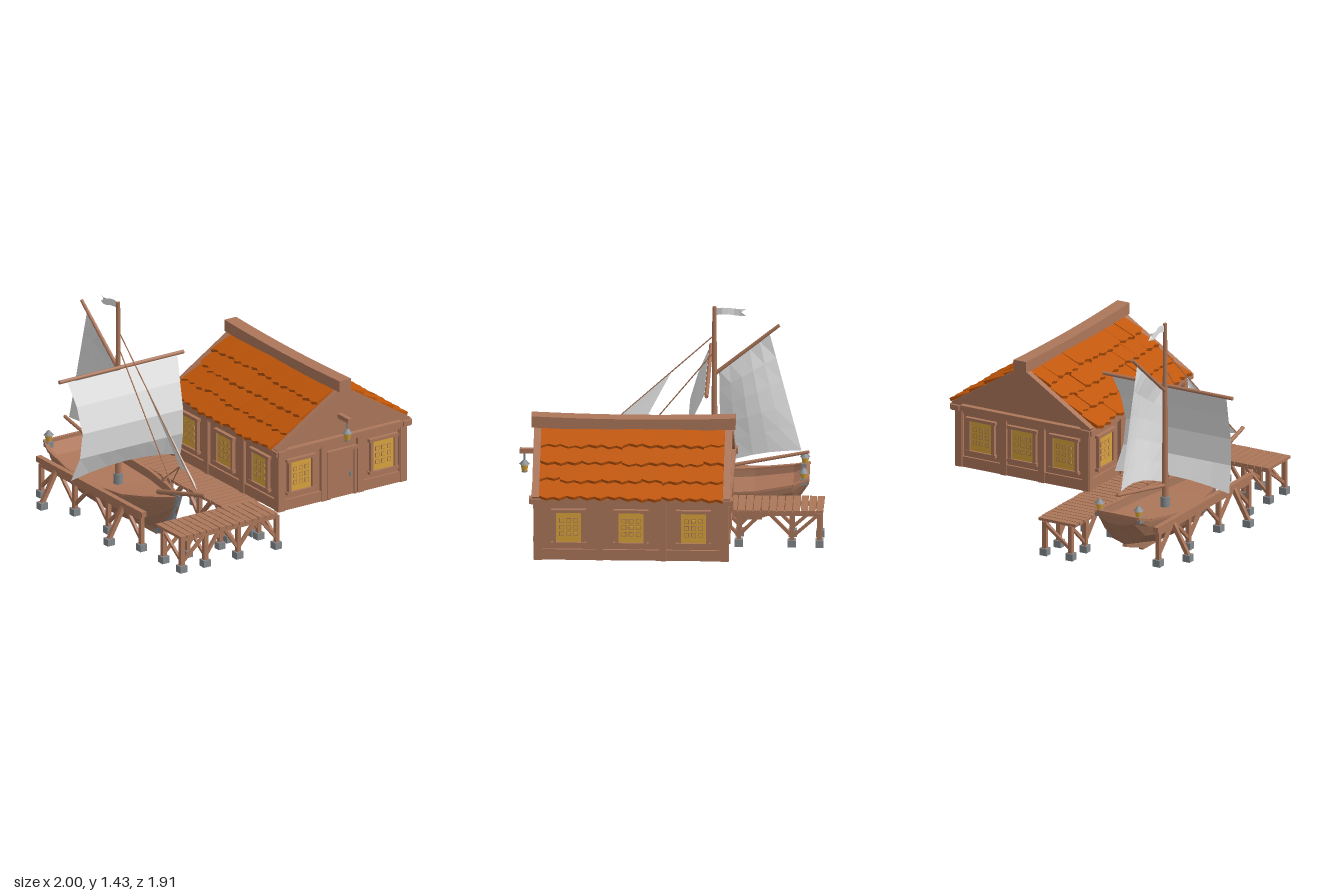
import * as THREE from 'three';

const mat = (name, color) => Object.assign(new THREE.MeshStandardMaterial({ color }), { name });
const V = (x, y, z) => new THREE.Vector3(x, y, z);

export function createModel() {
  const model = new THREE.Group();
  model.name = 'harbourHouse';
  const wood = mat('wood', 0xac765a), tile = mat('roofTile', 0xc2570a), stone = mat('stone', 0x83888c);
  const glass = mat('amberGlass', 0xd9a43c);
  const cloth = mat('sailcloth', 0xe2e2e2), hullWood = mat('hullWood', 0xa4745a);
  cloth.side = hullWood.side = THREE.DoubleSide;
  let seed = 7;
  const rnd = () => (seed = (seed * 16807) % 2147483647) / 2147483647;

  const group = (name, parent = model) => {
    const g = new THREE.Group();
    g.name = name;
    parent.add(g);
    return g;
  };
  const add = (p, name, geo, m, x = 0, y = 0, z = 0) => {
    const o = new THREE.Mesh(geo, m);
    o.name = name;
    o.position.set(x, y, z);
    p.add(o);
    return o;
  };
  const box = (p, name, m, w, h, d, x, y, z) => add(p, name, new THREE.BoxGeometry(w, h, d), m, x, y, z);
  // Square timber between two points, in its parent's frame
  const beam = (p, name, a, b, w = 0.025, h = w, m = wood) => {
    const o = box(p, name, m, w, h, a.distanceTo(b), 0, 0, 0);
    o.position.copy(a).add(b).multiplyScalar(0.5);
    o.quaternion.setFromRotationMatrix(new THREE.Matrix4().lookAt(b, a, V(0, 1, 0)));
    return o;
  };
  // Round spar or rope between two points
  const spar = (p, name, a, b, r0, r1 = r0, sides = 8, m = wood) => {
    const o = add(p, name, new THREE.CylinderGeometry(r1, r0, a.distanceTo(b), sides), m);
    o.position.copy(a).add(b).multiplyScalar(0.5);
    o.quaternion.setFromUnitVectors(V(0, 1, 0), b.clone().sub(a).normalize());
    return o;
  };
  // Faceted skin through rows of points
  const skin = rows => {
    const pos = [];
    for (let i = 0; i + 1 < rows.length; i++)
      for (let j = 0; j + 1 < rows[i].length; j++) {
        const [a, b, c, d] = [rows[i][j], rows[i][j + 1], rows[i + 1][j + 1], rows[i + 1][j]];
        for (const q of [a, c, b, a, d, c]) pos.push(q.x, q.y, q.z);
      }
    const g = new THREE.BufferGeometry();
    g.setAttribute('position', new THREE.Float32BufferAttribute(pos, 3));
    g.computeVertexNormals();
    return g;
  };
  const lantern = (p, x, y, z) => {
    const g = group('lantern', p);
    add(g, 'lanternGlass', new THREE.CylinderGeometry(0.026, 0.016, 0.05, 6), glass, x, y + 0.025, z);
    add(g, 'lanternCap', new THREE.CylinderGeometry(0.008, 0.034, 0.03, 6), stone, x, y + 0.064, z);
    add(g, 'lanternBase', new THREE.CylinderGeometry(0.018, 0.018, 0.008, 6), stone, x, y, z);
  };

  // House walls, open underneath
  const house = group('house');
  house.position.set(0.445, 0.25, 0.23);
  const addWindow = (p, x, d) => {
    box(p, 'windowPane', glass, 0.16, 0.2, 0.008, x, 0.22, d - 0.012);
    for (const s of [-1, 1]) {
      box(p, 'windowJamb', wood, 0.02, 0.22, 0.05, x + s * 0.09, 0.22, d - 0.021);
      box(p, 'windowRail', wood, 0.22, 0.02, 0.056, x, 0.22 + s * 0.11, d - 0.021);
    }
    for (let i = 0; i < 9; i++) {
      const lx = x + (i % 3 - 1) * 0.045, ly = 0.22 + (Math.floor(i / 3) - 1) * 0.045;
      box(p, 'windowLattice', wood, 0.03, 0.03, 0.004, lx, ly, d - 0.008);
      box(p, 'windowLight', glass, 0.022, 0.022, 0.004, lx, ly, d - 0.006);
    }
  };
  const addWall = (name, angle, half, d, posts, windows, door) => {
    const g = group(name, house);
    g.rotation.y = angle;
    box(g, 'wallPanel', wood, half * 2 - 0.03, 0.4, 0.02, 0, 0.2, d - 0.03);
    for (const x of posts) box(g, 'wallPost', wood, 0.045, 0.4, 0.055, x, 0.2, d - 0.025);
    box(g, 'topRail', wood, half * 2 + 0.06, 0.035, 0.06, 0, 0.4, d - 0.012);
    for (let i = 0; i + 1 < posts.length; i++) {
      if (door && i === 1) continue;
      const w = posts[i + 1] - posts[i], x = (posts[i + 1] + posts[i]) / 2;
      box(g, 'sillRail', wood, w, 0.07, 0.045, x, 0.035, d - 0.028);
      box(g, 'headRail', wood, w, 0.025, 0.045, x, 0.37, d - 0.028);
    }
    windows.forEach(x => addWindow(g, x, d));
    if (door) {
      box(g, 'door', wood, 0.18, 0.3, 0.035, 0, 0.15, d - 0.027);
      for (const s of [-1, 1]) box(g, 'doorJamb', wood, 0.022, 0.31, 0.05, s * 0.1, 0.155, d - 0.024);
      box(g, 'doorLintel', wood, 0.24, 0.022, 0.056, 0, 0.315, d - 0.022);
      box(g, 'doorHandle', stone, 0.012, 0.03, 0.015, 0.065, 0.14, d - 0.005);
    }
  };
  const endPosts = [-0.467, -0.14, 0.14, 0.467], sidePosts = [-0.59, -0.2, 0.2, 0.59];
  addWall('frontWall', 0, 0.49, 0.615, endPosts, [-0.315, 0.315], true);
  addWall('backWall', Math.PI, 0.49, 0.615, endPosts, [-0.305, 0, 0.305], false);
  addWall('rightWall', Math.PI / 2, 0.615, 0.49, sidePosts, [-0.395, 0, 0.395], false);
  addWall('leftWall', -Math.PI / 2, 0.615, 0.49, sidePosts, [-0.395, 0, 0.395], false);

  // Gables with sloping barge boards
  const gable = new THREE.Shape([new THREE.Vector2(-0.49, 0.4), new THREE.Vector2(0.49, 0.4), new THREE.Vector2(0, 0.72)]);
  for (const e of [-1, 1]) {
    add(house, 'gable', new THREE.ExtrudeGeometry(gable, { depth: 0.02, bevelEnabled: false }), wood, 0, 0, e * 0.585 - 0.01);
    for (const s of [-1, 1])
      beam(house, 'bargeBoard', V(s * 0.5, 0.41, e * 0.605), V(0, 0.725, e * 0.605), 0.045, 0.045);
  }
  // Ridge beam with gentle sag
  const ridge = new THREE.BoxGeometry(0.09, 0.075, 1.29, 1, 1, 8);
  const rp = ridge.attributes.position;
  for (let i = 0; i < rp.count; i++) rp.setY(i, rp.getY(i) + 0.014 * (rp.getZ(i) / 0.645) ** 2);
  ridge.computeVertexNormals();
  add(house, 'ridgeBeam', ridge, wood, 0, 0.75, 0);

  // Tiled roof: one slope, repeated by a half turn
  for (const turn of [0, Math.PI]) {
    const side = group('roofSide', house);
    side.position.y = 0.745;
    side.rotation.y = turn;
    const slope = group('roofSlope', side);
    slope.rotation.z = -0.558;
    for (let r = 0; r < 4; r++) {
      box(slope, 'roofBoard', wood, 0.1, 0.012, 1.2, 0.08 + r * 0.143, -0.034, 0);
      for (let c = 0; c < 9; c++) {
        const w = 0.129, L = 0.165 + rnd() * 0.02, k = (c + r) % 2 ? 0.012 : -0.012;
        const s = new THREE.Shape([[0, 0], [L - k, 0], [L + k * 0.8, w * 0.35], [L - k * 0.4, w * 0.7], [L + k, w], [0, w]]
          .map(q => new THREE.Vector2(...q)));
        const g = new THREE.ExtrudeGeometry(s, { depth: 0.022, bevelEnabled: false }).rotateX(-Math.PI / 2);
        const t = add(slope, 'roofTile', g, tile, 0.015 + r * 0.143 + rnd() * 0.012, -0.026 + rnd() * 0.006, -0.58 + (c + 1) * w);
        t.rotation.z = 0.13 + rnd() * 0.04;
      }
    }
  }
  // Lantern bracket over the door
  box(house, 'lanternBracket', wood, 0.03, 0.03, 0.12, -0.015, 0.55, 0.66);
  spar(house, 'lanternHook', V(-0.015, 0.48, 0.69), V(-0.015, 0.55, 0.69), 0.005, 0.005, 6, stone);
  lantern(house, -0.015, 0.41, 0.69);

  // Docks on braced piers
  const dock = group('docks');
  const pier = (x, z, top = 0.225) => {
    box(dock, 'footing', stone, 0.052, 0.046, 0.052, x, 0.023, z);
    box(dock, 'pierPost', wood, 0.028, top - 0.04, 0.028, x, (top + 0.04) / 2, z);
  };
  for (let i = 0; i < 31; i++)
    box(dock, 'plank', wood, 0.27 + rnd() * 0.015, 0.018, 0.044, -0.148, 0.242, -0.933 + i * 0.0497).rotation.y = (rnd() - 0.5) * 0.03;
  for (let i = 0; i < 15; i++)
    box(dock, 'plank', wood, 0.044, 0.018, 0.27 + rnd() * 0.015, -0.775 + i * 0.05, 0.242, 0.71).rotation.y = (rnd() - 0.5) * 0.03;
  const sideZ = [0.555, 0.235, -0.09, -0.42, -0.755, -0.93], frontX = [-0.77, -0.59, -0.34, -0.045];
  const row = (pts) => pts.forEach((p, i) => {
    pier(p.x, p.z);
    if (!i) return;
    const q = pts[i - 1], mid = p.clone().add(q).multiplyScalar(0.5);
    beam(dock, 'stringer', q, p, 0.026);
    if (p.distanceTo(q) < 0.2) return beam(dock, 'brace', V(q.x, 0.06, q.z), p, 0.018);
    for (const e of [p, q]) beam(dock, 'brace', V(e.x, 0.07, e.z), e.clone().lerp(mid, 0.85), 0.02);
  });
  for (const x of [-0.235, -0.045]) row(sideZ.map(z => V(x, 0.22, z)));
  for (const z of [0.82, 0.62]) row(frontX.map(x => V(x, 0.22, z)));
  for (const z of sideZ) beam(dock, 'crossBrace', V(-0.235, 0.07, z), V(-0.045, 0.21, z), 0.018);
  for (const x of frontX) beam(dock, 'crossBrace', V(x, 0.07, 0.82), V(x, 0.21, 0.62), 0.018);
  // Mooring rail on the outer side with raking props
  row([0.37, 0, -0.375, -0.75].map(z => V(-0.77, 0.22, z)));
  beam(dock, 'mooringRail', V(-0.77, 0.25, 0.4), V(-0.77, 0.25, -0.785), 0.036);
  for (const z of [-0.575, 0.175]) {
    box(dock, 'footing', stone, 0.052, 0.046, 0.052, -0.885, 0.023, z);
    beam(dock, 'rakingProp', V(-0.885, 0.04, z), V(-0.77, 0.245, z), 0.026);
  }

  // Boat hull from cross-sections: z, half width, rim height, keel height
  const boat = group('boat');
  boat.position.x = -0.525;
  const stations = [[-0.85, 0.15, 0.33, 0.26], [-0.75, 0.185, 0.3, 0.1], [-0.5, 0.215, 0.265, 0.04], [-0.2, 0.215, 0.25, 0.02],
    [0.05, 0.165, 0.255, 0.02], [0.22, 0.1, 0.28, 0.04], [0.42, 0.008, 0.32, 0.22]];
  const half = [[1, 1], [0.96, 0.75], [0.8, 0.42], [0.45, 0.12], [0, 0]];
  const profile = [...half, ...half.slice(0, 4).reverse().map(([a, b]) => [-a, b])];
  const rings = stations.map(([z, w, t, b]) => profile.map(([u, v]) => V(u * w, b + v * (t - b), z)));
  add(boat, 'hull', skin(rings), hullWood);
  add(boat, 'transom', skin([rings[0].map(() => V(0, 0.33, -0.85)), rings[0]]), hullWood);
  add(boat, 'deck', skin(stations.map(([z, w, t, b]) => [-0.95, 0.95].map(u => V(u * w, b + (t - b) * 0.78, z)))), wood);
  for (const s of [-1, 1]) {
    for (let i = 0; i + 1 < stations.length; i++) {
      const [a, b] = [stations[i], stations[i + 1]];
      beam(boat, 'gunwale', V(s * a[1], a[2], a[0]), V(s * b[1], b[2], b[0]), 0.026, 0.016);
    }
    box(boat, 'sternPost', stone, 0.045, 0.04, 0.045, s * 0.143, 0.313, -0.82);
    lantern(boat, s * 0.143, 0.325, -0.82);
  }
  beam(boat, 'sternRail', V(-0.15, 0.325, -0.84), V(0.15, 0.325, -0.84), 0.022);
  beam(boat, 'keel', V(0, 0.025, 0.2), V(0, 0.025, -0.55), 0.03, 0.04, hullWood);
  beam(boat, 'sternKeel', V(0, 0.03, -0.54), V(0, 0.1, -0.75), 0.03, 0.03, hullWood);
  const stemShape = new THREE.Shape([[0.16, 0.01], [0.24, 0.02], [0.36, 0.12], [0.45, 0.34], [0.4, 0.34], [0.3, 0.16]]
    .map(q => new THREE.Vector2(...q)));
  add(boat, 'stem', new THREE.ExtrudeGeometry(stemShape, { depth: 0.03, bevelEnabled: false }).rotateY(-Math.PI / 2), stone, 0.015);

  // Mast, spars and ropes
  const top = V(0, 1.43, -0.25), clew = V(0.095, 0.47, 0.3), tack = V(0, 0.42, 0.64);
  spar(boat, 'mast', V(0, 0.2, -0.25), top, 0.022, 0.013);
  spar(boat, 'mastCollar', V(0, 0.2, -0.25), V(0, 0.27, -0.25), 0.032, 0.03, 8, stone);
  spar(boat, 'yard', V(-0.475, 1, -0.215), V(0.475, 1, -0.215), 0.013);
  spar(boat, 'gaff', V(0, 0.985, -0.26), V(0, 1.31, -0.66), 0.013, 0.011);
  spar(boat, 'boom', V(0, 0.345, -0.26), V(0, 0.46, -0.85), 0.013, 0.011);
  spar(boat, 'bowsprit', V(0, 0.29, 0.2), V(0, 0.43, 0.72), 0.018, 0.012);
  spar(boat, 'forestay', V(0, 1.24, -0.25), V(0, 0.4, 0.66), 0.004, 0.004, 5);
  spar(boat, 'innerStay', V(0, 1.13, -0.25), V(0, 0.32, 0.4), 0.004, 0.004, 5);
  spar(boat, 'jibSheet', clew, V(0.175, 0.28, 0.01), 0.004, 0.004, 5);
  spar(boat, 'jibSheet', clew, V(0.13, 0.29, 0.15), 0.004, 0.004, 5);
  add(boat, 'cleat', new THREE.CylinderGeometry(0.018, 0.018, 0.03, 8), wood, 0.175, 0.28, 0.01);

  // Sails and pennant
  const steps = n => Array.from({ length: n + 1 }, (_, i) => i / n);
  const square = [[0.99, -0.2, 0.42], [0.84, -0.135, 0.395], [0.67, -0.085, 0.385], [0.5, -0.1, 0.395], [0.335, -0.165, 0.42]];
  add(boat, 'squareSail', skin(square.map(([y, z, w], i) => steps(6).map(t => {
    const c = t * 2 - 1;
    return V(c * w, y + (i === 4 ? 0.045 * (1 - c * c) : 0), z);
  }))), cloth);
  const [throat, peak, aft, fore] = [V(0, 1, -0.28), V(0, 1.25, -0.6), V(0, 0.47, -0.8), V(0, 0.38, -0.29)];
  add(boat, 'mainSail', skin(steps(5).map(v => steps(5).map(u => {
    const p = throat.clone().lerp(peak, u).lerp(fore.clone().lerp(aft, u), v);
    p.x += 0.045 * Math.sin(Math.PI * u) * Math.sqrt(Math.sin(Math.PI * Math.min(v, 0.9)));
    p.y += 0.03 * v * Math.sin(Math.PI * u);
    return p;
  }))), cloth);
  const head = V(0, 0.99, 0.02);
  add(boat, 'jib', skin(steps(5).map(v => steps(3).map(u => {
    const p = head.clone().lerp(tack.clone().lerp(clew, u), v);
    p.x += 0.03 * Math.sin(Math.PI * u) * v;
    return p;
  }))), cloth);
  add(boat, 'pennant', skin([1, 0.5, 0].map(v => steps(5).map(t =>
    V(0.008 * Math.sin(t * 7), 1.375 + v * 0.045 + 0.007 * Math.sin(t * 6), -0.26 - t * 0.19 + (t === 1 && v === 0.5 ? 0.03 : 0))))), cloth);
  return model;
}
